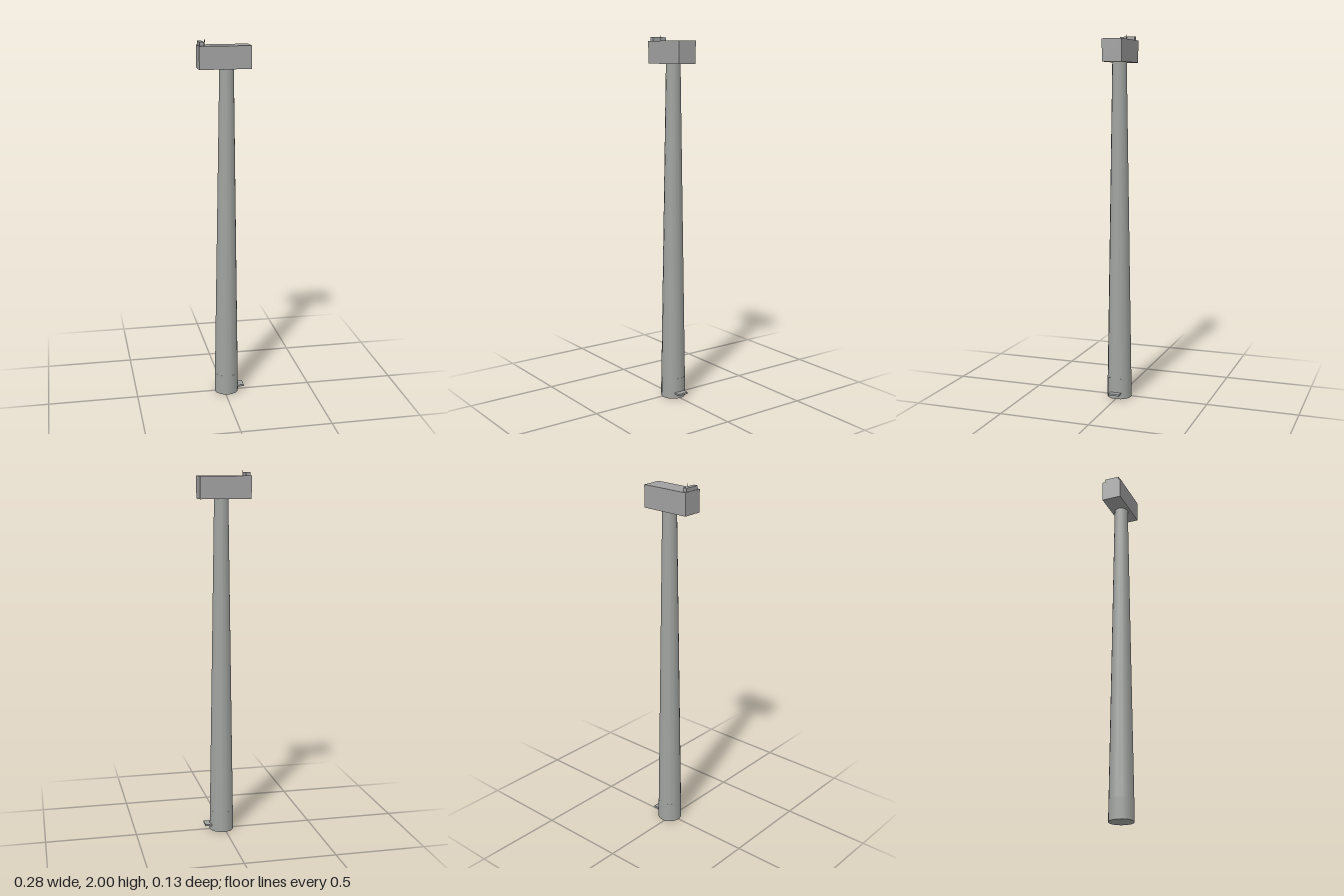
import * as THREE from 'three';

export function createModel() {
  const model = new THREE.Group();
  model.name = 'turbineTower';

  const towerGrey = new THREE.MeshStandardMaterial({ name: 'tower grey', color: 0xa0a3a0 });
  const housingGrey = new THREE.MeshStandardMaterial({ name: 'housing grey', color: 0xa0a0a0 });

  const add = (name, geometry, material, x, y, z) => {
    const mesh = new THREE.Mesh(geometry, material);
    mesh.name = name;
    mesh.position.set(x, y, z);
    model.add(mesh);
    return mesh;
  };
  // Box given by its lower and upper corners
  const box = (name, material, [x0, y0, z0], [x1, y1, z1]) =>
    add(name, new THREE.BoxGeometry(x1 - x0, y1 - y0, z1 - z0), material,
      (x0 + x1) / 2, (y0 + y1) / 2, (z0 + z1) / 2);
  // Upright 14-sided round section; corners lie on the x axis
  const section = (name, rBottom, rTop, y0, y1) => {
    const geometry = new THREE.CylinderGeometry(rTop, rBottom, y1 - y0, 14);
    geometry.rotateY(Math.PI / 2);
    return add(name, geometry, towerGrey, 0.014, (y0 + y1) / 2, 0);
  };

  // Tower: straight foot and long tapered shaft
  section('towerFoot', 0.068, 0.067, 0, 0.115);
  section('towerShaft', 0.0665, 0.039, 0.115, 1.852);

  // Entrance step at the foot
  box('entranceStep', housingGrey, [0.07, 0.027, -0.029], [0.111, 0.037, 0.031]);

  // Machine housing with roof cooler and sensor mast
  box('housing', housingGrey, [-0.139, 1.85, -0.055], [0.138, 1.97, 0.055]);
  box('roofCooler', housingGrey, [-0.135, 1.97, -0.043], [-0.111, 1.99, 0.042]);
  add('sensorMast', new THREE.CylinderGeometry(0.0015, 0.0015, 0.03, 6), housingGrey, -0.102, 1.985, 0);

  return model;
}
